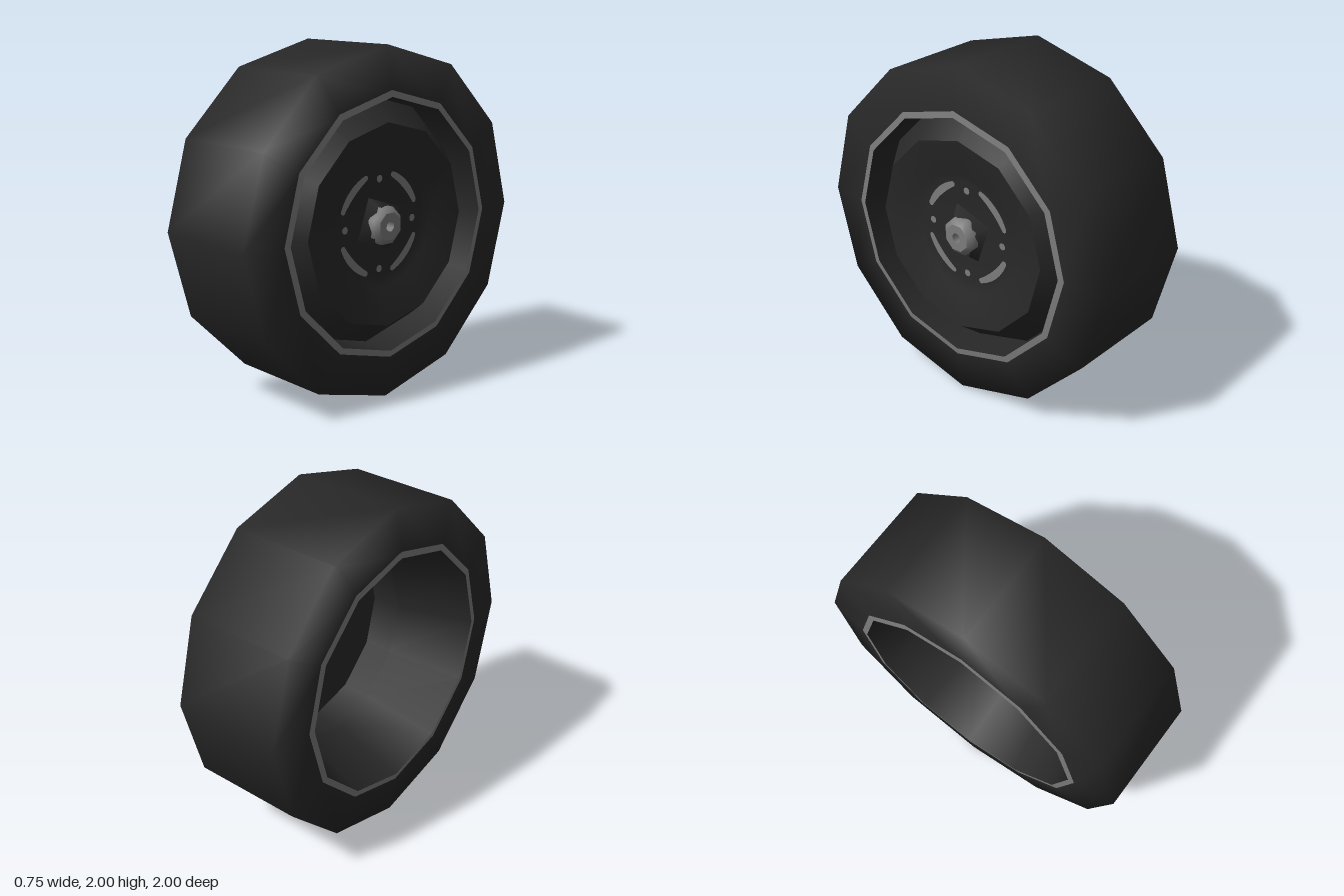
import * as THREE from 'three';

const SIDES = 12;

export function createModel() {
  const rubber = new THREE.MeshStandardMaterial({ color: 0x282828 });
  rubber.name = 'darkRubber';
  const metal = new THREE.MeshStandardMaterial({ color: 0x7c7c7c });
  metal.name = 'greyMetal';

  const wheel = new THREE.Group();
  wheel.name = 'wheel';

  const add = (name, geometry, material) => {
    const mesh = new THREE.Mesh(geometry, material);
    mesh.name = name;
    wheel.add(mesh);
  };

  // Profile of [radius, x] pairs turned around the axle
  const turn = (name, profile, material, sides = SIDES, start = 0) => {
    const points = profile.map(([r, x]) => new THREE.Vector2(r, x));
    add(name, new THREE.LatheGeometry(points, sides, start).rotateZ(-Math.PI / 2), material);
  };

  // Thin flat plate just above the disc
  const plate = (name, shape) =>
    add(name, new THREE.ShapeGeometry(shape, 8).rotateY(Math.PI / 2).translate(0.276, 0, 0), metal);

  // Tyre, smooth across tread and sidewalls
  turn('tyre', [[0.74, -0.372], [1, -0.335], [1, 0.335], [0.74, 0.372]], rubber);

  // Rim edges on both sides
  turn('frontRim', [[0.757, 0.3705], [0.72, 0.375]], metal);
  turn('backRim', [[0.72, -0.375], [0.757, -0.3705]], metal);

  // Front groove, raised shoulder and dished disc
  turn('frontBarrel', [[0.72, 0.375], [0.715, 0.17]], rubber);
  turn('discShoulder', [[0.715, 0.17], [0.58, 0.345]], rubber);
  turn('disc', [[0.58, 0.345], [0.37, 0.305], [0.315, 0.27], [0, 0.27]], rubber);

  // Hollow back narrowing to the rear of the disc
  turn('backBarrel', [[0.58, 0.07], [0.72, -0.375]], rubber);
  turn('innerBarrel', [[0.575, 0.25], [0.58, 0.07]], rubber);
  turn('discBack', [[0, 0.25], [0.575, 0.25]], rubber);

  // Crescent vents and small bolts between them
  const deg = Math.PI / 180;
  const polar = (r, a) => [r * Math.cos(a), r * Math.sin(a)];
  for (let i = 0; i < 4; i++) {
    const a0 = (i * 90 + 21) * deg;
    const a1 = (i * 90 + 69) * deg;
    const tip = 0.016, r = 0.29;
    const vent = new THREE.Shape();
    vent.absarc(0, 0, r + tip, a0, a1, false);
    vent.absarc(...polar(r, a1), tip, a1, a1 + Math.PI, false);
    vent.quadraticCurveTo(...polar(0.272, (a0 + a1) / 2), ...polar(r - tip, a0));
    vent.absarc(...polar(r, a0), tip, a0 + Math.PI, a0 + 2 * Math.PI, false);
    plate('vent', vent);

    const bolt = new THREE.Shape();
    bolt.absarc(...polar(0.258, i * 90 * deg), 0.021, 0, 2 * Math.PI);
    plate('bolt', bolt);
  }

  // Square hub base tapering up to the nut
  turn('hubBase', [[0.18, 0.265], [0.125, 0.325]], rubber, 4, 26 * deg);

  // Chamfered nut with a sunken axle hole
  const eighth = 22.5 * deg;
  turn('nutSide', [[0.112, 0.3], [0.112, 0.34], [0.082, 0.365]], metal, 8, eighth);
  turn('nutFace', [[0.082, 0.365], [0.03, 0.365]], metal, 8, eighth);
  turn('axleHole', [[0.03, 0.365], [0.03, 0.31]], metal, 8, eighth);
  turn('axleEnd', [[0.03, 0.31], [0, 0.31]], rubber, 8, eighth);

  wheel.position.y = 1;
  const model = new THREE.Group();
  model.name = 'model';
  model.add(wheel);
  return model;
}
